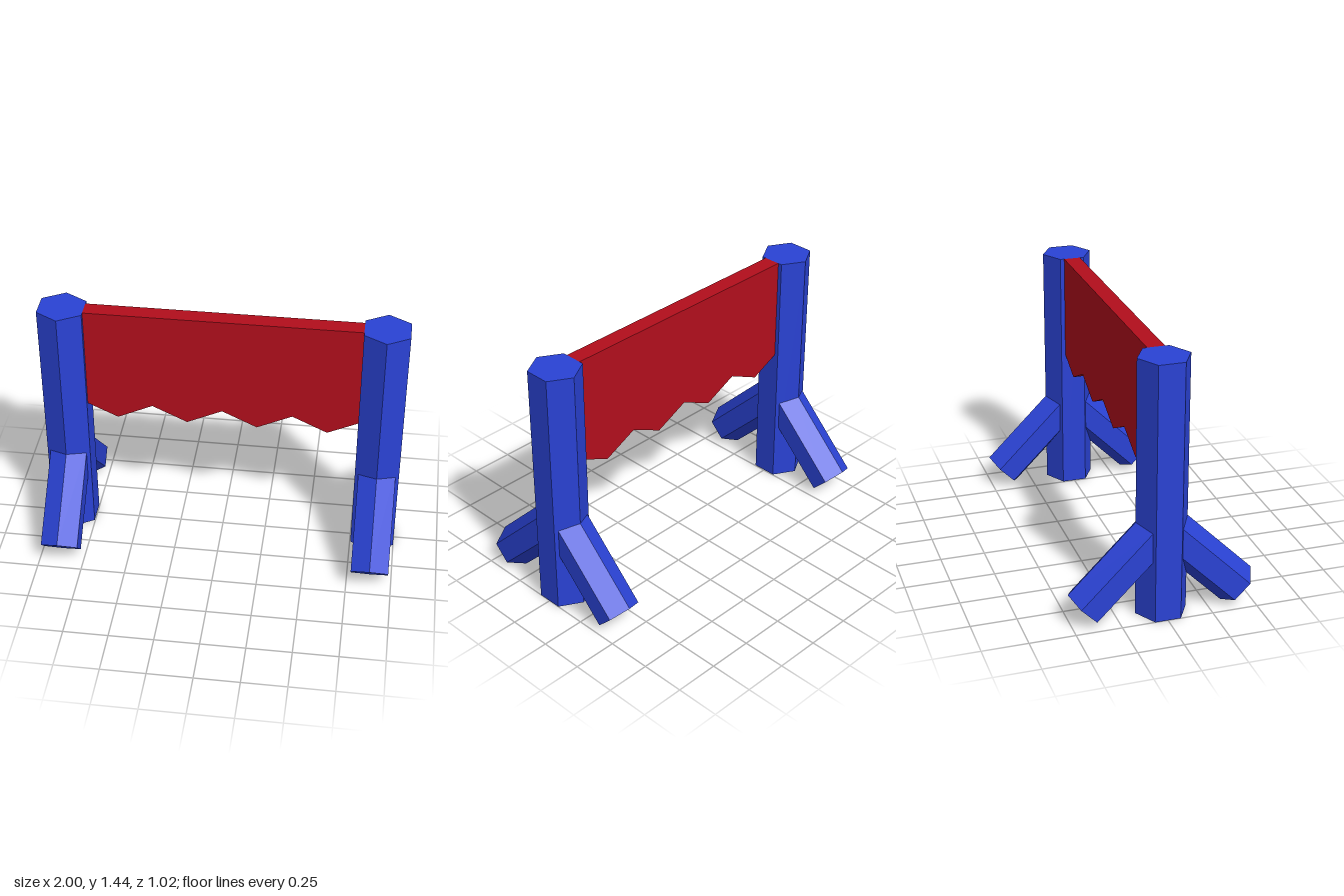
import * as THREE from 'three';

const blue = new THREE.MeshStandardMaterial({ color: 0x2a42d4, flatShading: true });
const red = new THREE.MeshStandardMaterial({ color: 0xb20e1c, flatShading: true });

const HEIGHT = 1.44;
const POST_X = 0.877;
const POST_R = 0.142;
const LEG_R = 0.12;

// Hexagonal bar between two points in the yz plane, ridges facing along z
function hexBar(name, radius, from, to) {
  const axis = to.clone().sub(from);
  const mesh = new THREE.Mesh(new THREE.CylinderGeometry(radius, radius, axis.length(), 6), blue);
  mesh.name = name;
  mesh.position.copy(from).add(to).multiplyScalar(0.5);
  mesh.quaternion.setFromUnitVectors(new THREE.Vector3(0, 1, 0), axis.normalize());
  return mesh;
}

// Upright post with a slanted brace in front and behind
function createSupport(name, x) {
  const support = new THREE.Group();
  support.name = name;
  support.position.x = x;
  support.add(hexBar('post', POST_R, new THREE.Vector3(0, 0, 0), new THREE.Vector3(0, HEIGHT, 0)));
  for (const [legName, s] of [['frontLeg', 1], ['backLeg', -1]]) {
    const foot = new THREE.Vector3(0, 0.086, s * 0.423);
    const joint = new THREE.Vector3(0, 0.509, 0);
    support.add(hexBar(legName, LEG_R, foot, joint));
  }
  return support;
}

// Hanging panel with a zigzag lower edge
function createPanel() {
  const halfWidth = POST_X - POST_R * Math.cos(Math.PI / 6);
  const depth = 0.095;
  const step = 0.195;
  const shape = new THREE.Shape();
  shape.moveTo(-halfWidth, HEIGHT);
  shape.lineTo(-halfWidth, 0.842);
  for (let i = -3; i <= 3; i++) shape.lineTo(i * step, i % 2 ? 0.762 : 0.855);
  shape.lineTo(halfWidth, 0.842);
  shape.lineTo(halfWidth, HEIGHT);
  shape.closePath();
  const geometry = new THREE.ExtrudeGeometry(shape, { depth, bevelEnabled: false });
  geometry.translate(0, 0, -depth / 2);
  const panel = new THREE.Mesh(geometry, red);
  panel.name = 'panel';
  return panel;
}

export function createModel() {
  const model = new THREE.Group();
  model.name = 'bannerFrame';
  model.add(createSupport('leftSupport', POST_X), createSupport('rightSupport', -POST_X), createPanel());
  return model;
}
